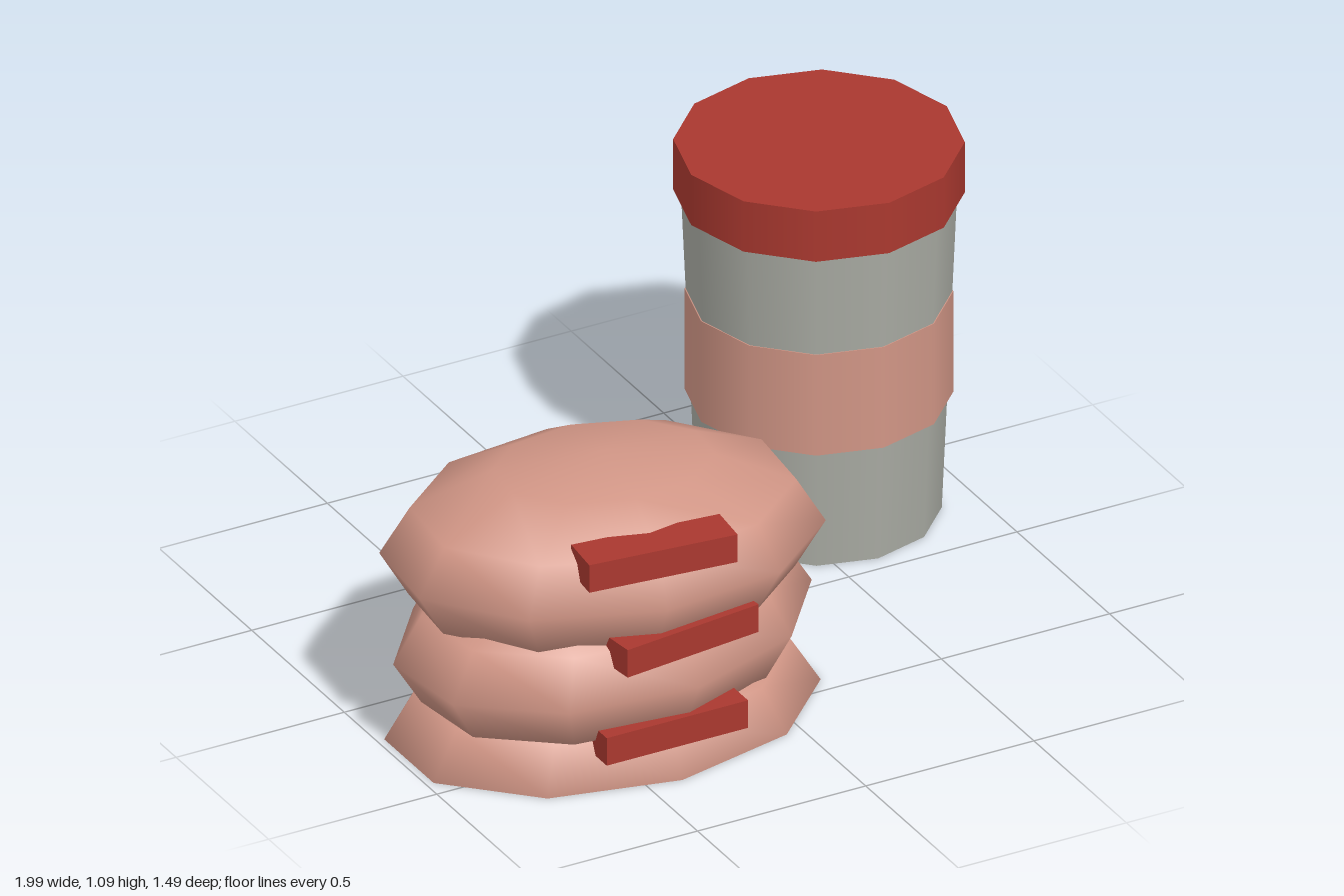
import * as THREE from 'three';

export function createModel() {
  const model = new THREE.Group();
  const salmon = new THREE.MeshStandardMaterial({ name: 'salmon', color: 0xd09585, side: THREE.DoubleSide });
  const red = new THREE.MeshStandardMaterial({ name: 'darkRed', color: 0xa9382f });
  const grey = new THREE.MeshStandardMaterial({ name: 'warmGrey', color: 0xa8aaa2 });

  const add = (parent, name, geometry, material, x, y, z) => {
    const mesh = new THREE.Mesh(geometry, material);
    mesh.name = name;
    mesh.position.set(x, y, z);
    parent.add(mesh);
    return mesh;
  };

  // Stack of three flattened sacks, each turned a little; the lowest is an open half
  const stack = new THREE.Group();
  stack.name = 'sackStack';
  stack.position.set(-0.403, 0, 0.31);
  model.add(stack);
  const sacks = [
    { y: 0, yaw: 0, tilt: 0, half: true },
    { y: 0.26, yaw: 0.12, tilt: 0, half: false },
    { y: 0.515, yaw: -0.1, tilt: -0.015, half: false },
  ];
  for (const { y, yaw, tilt, half } of sacks) {
    const sack = new THREE.Group();
    sack.name = 'sack';
    sack.position.y = y;
    sack.rotation.y = yaw;
    stack.add(sack);
    const body = new THREE.SphereGeometry(
      1, 10, half ? 3 : 6, Math.PI / 2, Math.PI * 2, 0, half ? Math.PI / 2 : Math.PI
    ).scale(0.605, 0.257, 0.432);
    add(sack, 'sackBody', body, salmon, 0, 0, 0).rotation.z = tilt;
    add(sack, 'sackTag', new THREE.BoxGeometry(0.42, 0.082, 0.12), red, 0, 0.127, 0.345);
  }

  // Tapered cup with a wide lid and a straight sleeve
  const cup = new THREE.Group();
  cup.name = 'cup';
  cup.position.set(0.615, 0, -0.37);
  model.add(cup);
  const drum = (name, top, bottom, y0, y1, material) =>
    add(cup, name, new THREE.CylinderGeometry(top, bottom, y1 - y0, 12), material, 0, (y0 + y1) / 2, 0);
  drum('cupBody', 0.36, 0.32, 0, 0.94, grey);
  drum('cupSleeve', 0.35, 0.35, 0.345, 0.645, salmon);
  drum('cupLid', 0.38, 0.38, 0.94, 1.09, red);

  return model;
}
